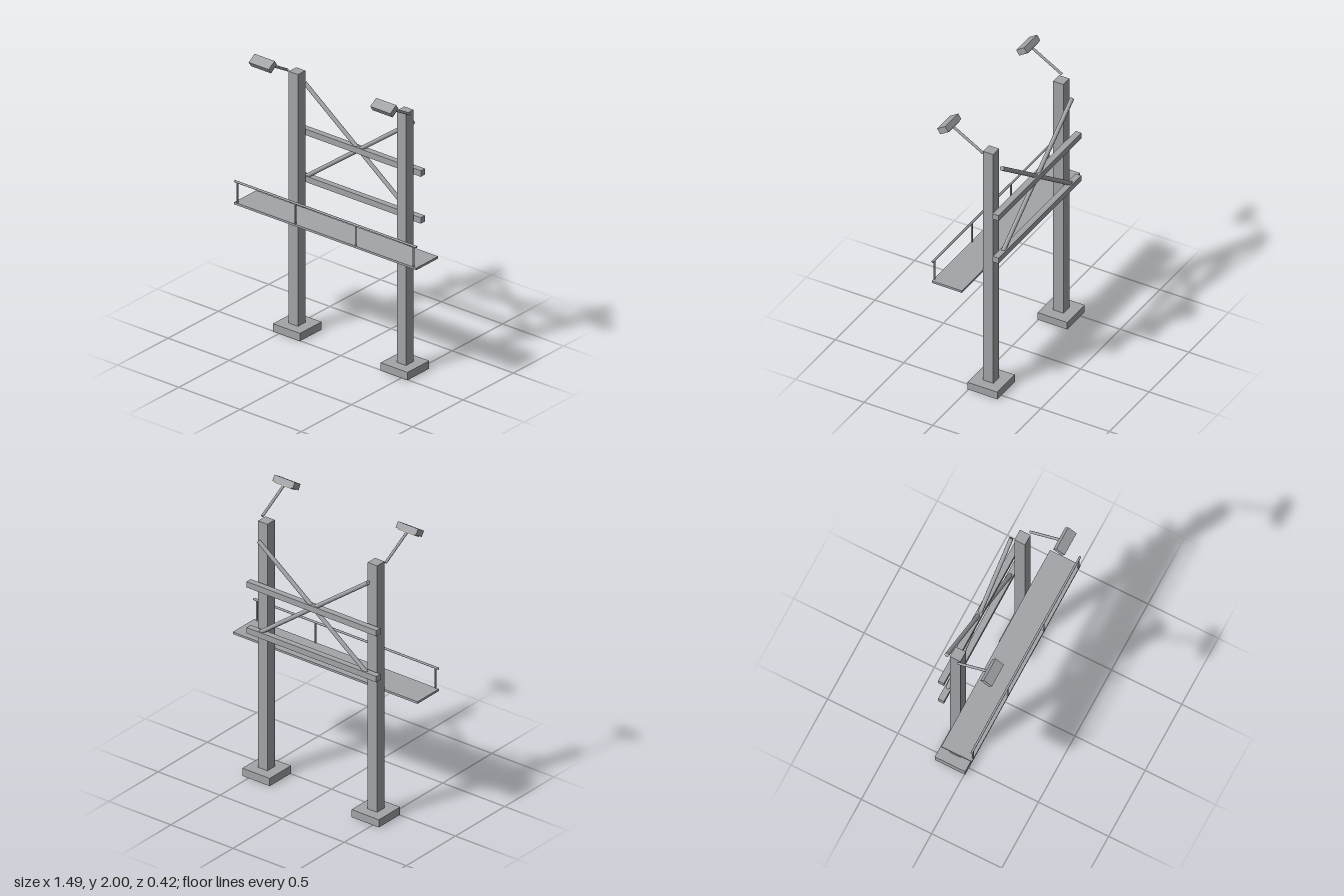
import * as THREE from 'three';

export function createModel() {
  const model = new THREE.Group();
  const steel = new THREE.MeshStandardMaterial({ color: 0xa3a4a8 });
  steel.name = 'grey steel';
  const glass = new THREE.MeshStandardMaterial({ color: 0xd8d0b4 });
  glass.name = 'cream lens';

  const box = (name, size, pos, material = steel, parent = model) => {
    const mesh = new THREE.Mesh(new THREE.BoxGeometry(...size), material);
    mesh.name = name;
    mesh.position.set(...pos);
    parent.add(mesh);
    return mesh;
  };

  // Round bar between two points
  const bar = (name, from, to, radius, sides = 12) => {
    const a = new THREE.Vector3(...from), b = new THREE.Vector3(...to);
    const mesh = new THREE.Mesh(new THREE.CylinderGeometry(radius, radius, a.distanceTo(b), sides), steel);
    mesh.name = name;
    mesh.position.copy(a).add(b).multiplyScalar(0.5);
    mesh.quaternion.setFromUnitVectors(new THREE.Vector3(0, 1, 0), b.sub(a).normalize());
    model.add(mesh);
    return mesh;
  };

  const postZ = -0.103, beamZ = -0.182;

  for (const [side, s] of [['left', 1], ['right', -1]]) {
    // Footing and post
    box(`${side}Footing`, [0.22, 0.055, 0.216], [s * 0.44, 0.0275, postZ]);
    box(`${side}Post`, [0.075, 1.77, 0.075], [s * 0.442, 0.94, postZ]);

    // Diagonal brace rising toward this side
    bar(`${side}Brace`, [-s * 0.442, 1.05, beamZ], [s * 0.442, 1.71, beamZ], 0.0145);

    // Lamp arm and tilted lamp head with the lens underneath
    bar(`${side}LampArm`, [s * 0.497, 1.825, -0.076], [s * 0.497, 1.962, 0.158], 0.009);
    const lamp = new THREE.Group();
    lamp.name = `${side}Lamp`;
    lamp.position.set(s * 0.497, 1.963, 0.17);
    lamp.rotation.x = THREE.MathUtils.degToRad(33);
    box('lampHousing', [0.164, 0.042, 0.07], [0, 0, 0], steel, lamp);
    box('lampLens', [0.132, 0.007, 0.056], [0, -0.0235, 0], glass, lamp);
    model.add(lamp);
  }

  // Horizontal beams behind the posts
  box('upperBeam', [1.044, 0.042, 0.042], [0, 1.38, beamZ]);
  box('lowerBeam', [1.044, 0.042, 0.042], [0, 1.05, beamZ]);

  // Walkway with its front railing
  box('walkway', [1.488, 0.015, 0.218], [0, 0.898, 0.045]);
  bar('handrail', [-0.744, 1.052, 0.15], [0.744, 1.052, 0.15], 0.0075);
  for (const x of [-0.72, -0.247, 0.247, 0.72]) {
    bar('railPost', [x, 0.9, 0.15], [x, 1.052, 0.15], 0.006, 10);
  }

  return model;
}
